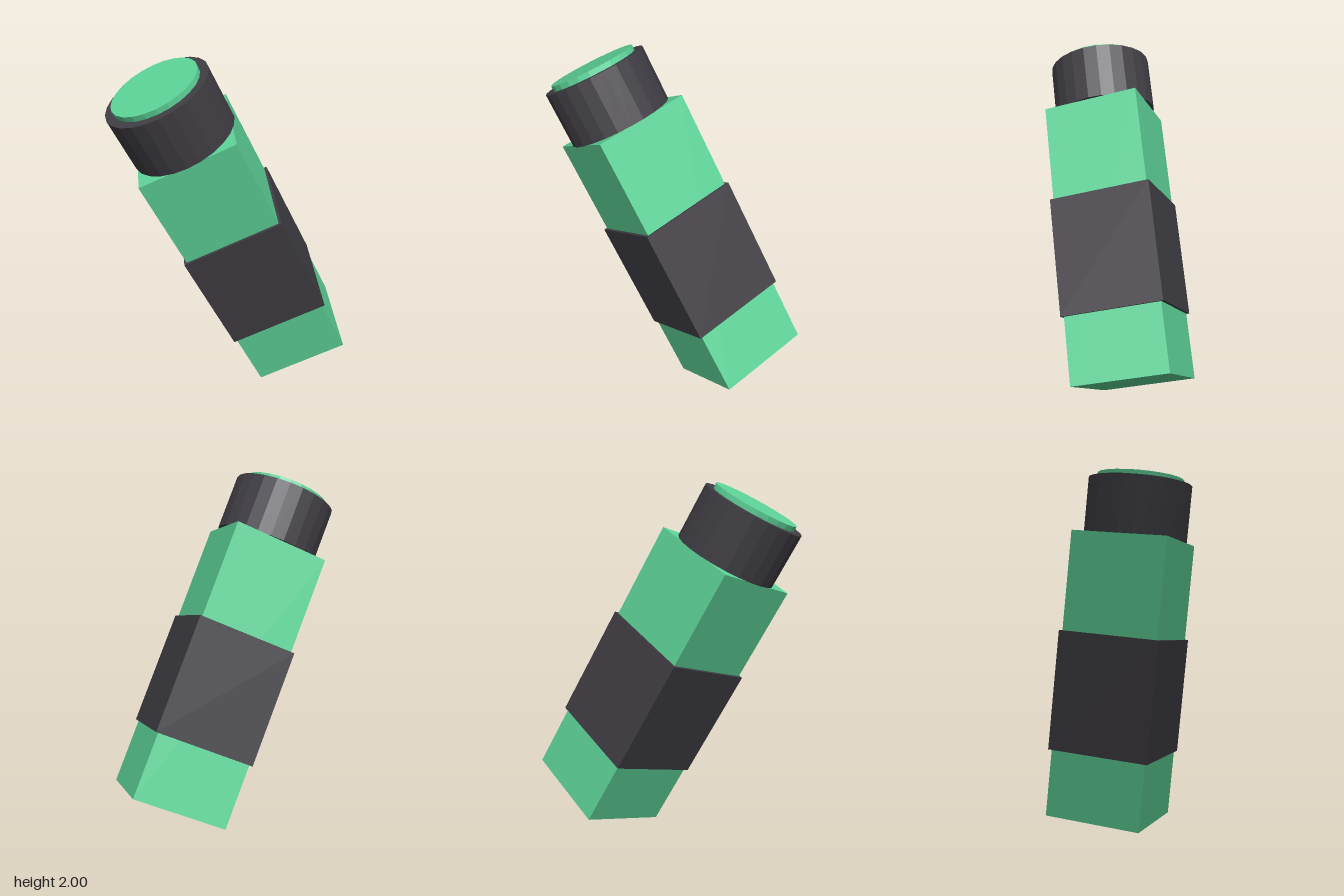
import * as THREE from 'three';

const green = new THREE.MeshStandardMaterial({ color: 0x5ed499, flatShading: true });
green.name = 'mint green';
const dark = new THREE.MeshStandardMaterial({ color: 0x403e44, flatShading: true });
dark.name = 'charcoal';

// Adds a part spanning the heights y0 to y1 along the upright axis.
function addPart(group, name, material, makeGeometry, y0, y1) {
  const mesh = new THREE.Mesh(makeGeometry(y1 - y0), material);
  mesh.name = name;
  mesh.position.y = (y0 + y1) / 2;
  group.add(mesh);
}

const box = (width) => (height) => new THREE.BoxGeometry(width, height, width);
const disc = (radius) => (height) => new THREE.CylinderGeometry(radius, radius, height, 24);

export function createModel() {
  const model = new THREE.Group();
  model.name = 'tiltedMarker';

  // Built upright, then leaned over as a whole
  const body = new THREE.Group();
  body.name = 'marker';
  addPart(body, 'squareBody', green, box(0.55), 0, 1.595);
  addPart(body, 'gripBand', dark, box(0.58), 0.375, 1.042);
  addPart(body, 'capRing', dark, disc(0.295), 1.595, 1.91);
  addPart(body, 'capButton', green, disc(0.247), 1.9, 1.94);

  // Lean: the long axis points up, forward and to the model's right
  const up = new THREE.Vector3(-0.292, 0.875, 0.386).normalize();
  const front = new THREE.Vector3(0.855, 0.418, -0.309).cross(up).normalize();
  const side = new THREE.Vector3().crossVectors(up, front);
  body.quaternion.setFromRotationMatrix(new THREE.Matrix4().makeBasis(side, up, front));
  body.position.set(0.245, 0.185, -0.345);

  model.add(body);
  return model;
}
